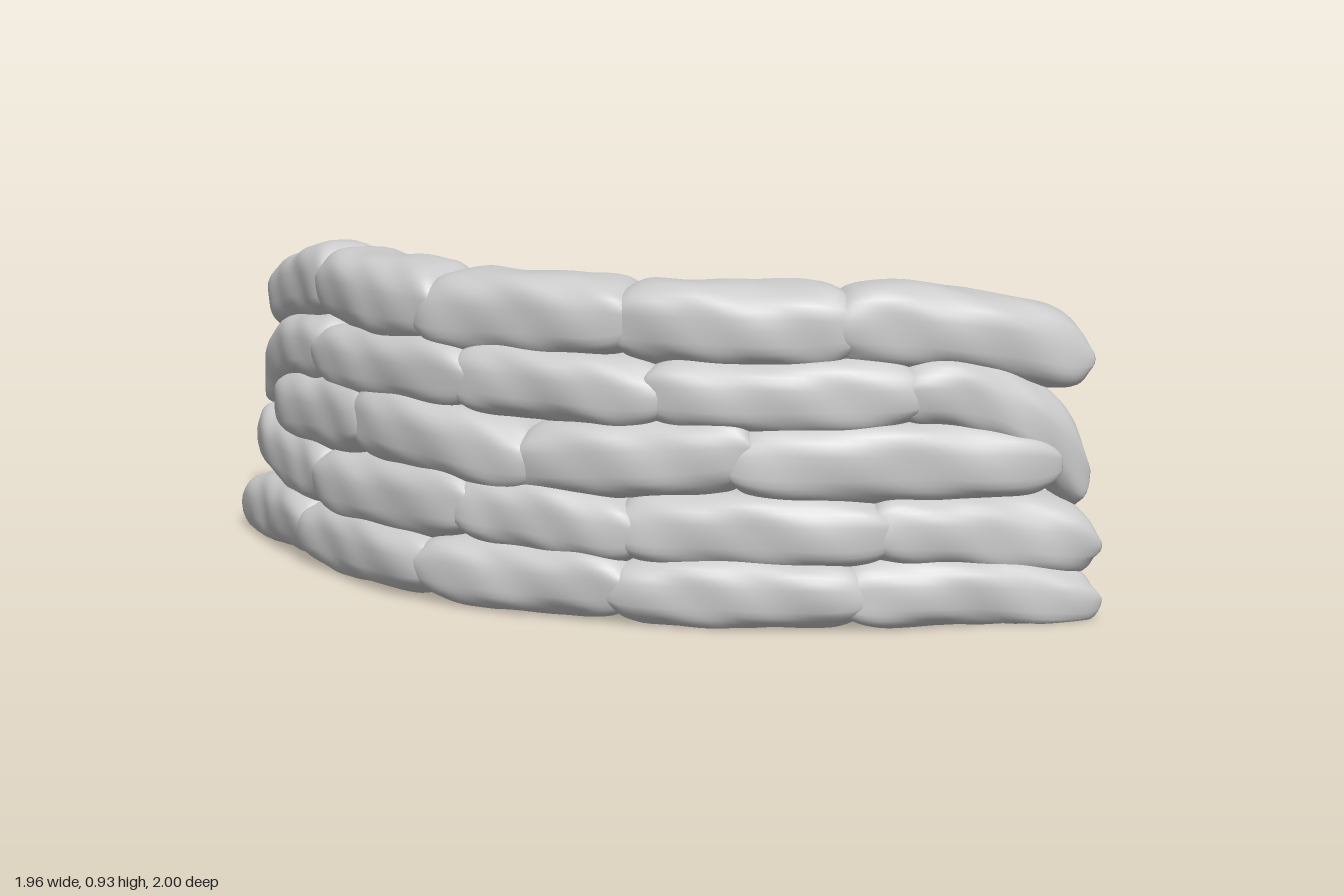
import * as THREE from 'three';

const material = new THREE.MeshStandardMaterial({ color: 0xcccccc });

// Plan of the wall: centre line of the top course, as [x, z]
const path = new THREE.CatmullRomCurve3([
  [-0.755, -0.99], [-0.725, -0.53], [-0.60, -0.06], [-0.42, 0.18], [-0.19, 0.39],
  [0.05, 0.55], [0.3, 0.665], [0.62, 0.73], [0.975, 0.785],
].map(([x, z]) => new THREE.Vector3(x, 0, z)));

// Courses from the ground up. out: shift to the outside of the bend,
// joints: bag ends along the path, tilt: rise of each bag from its middle to its far end,
// drop: sag of the first and last bag's free end, swell: extra thickness of those ends,
// bend: how late along the bag the sag sets in
const courses = [
  { y: 0.10, h: 0.205, out: 0.095, w: 0.27, joints: [0.006, 0.18, 0.365, 0.555, 0.757, 0.988],
    tilt: [0, 0, 0, 0, 0], drop: [0.03, 0.05], swell: [0.1, 0], bend: 2 },
  { y: 0.265, h: 0.215, out: 0.08, w: 0.25, joints: [0.035, 0.2, 0.40, 0.56, 0.78, 0.99],
    tilt: [0.01, 0.015, -0.02, 0, 0], drop: [-0.07, 0.06], swell: [0, 0.05], bend: 2 },
  { y: 0.45, h: 0.225, out: 0.065, w: 0.25, joints: [0.08, 0.27, 0.46, 0.66, 0.95],
    tilt: [0.01, -0.03, 0.03, 0], drop: [0.02, 0.02], swell: [0, 0], bend: 2 },
  { y: 0.625, h: 0.21, out: 0.04, w: 0.25, joints: [0.018, 0.18, 0.39, 0.58, 0.81, 0.983],
    tilt: [0, 0.01, -0.01, 0, 0], drop: [0.18, 0.24], swell: [0.25, 0.5], bend: 3 },
  { y: 0.805, h: 0.235, out: 0, w: 0.27, joints: [0.006, 0.165, 0.345, 0.547, 0.752, 0.988],
    tilt: [0, 0, 0.01, 0, 0], drop: [0.11, 0.10], swell: [0, 0], bend: 2 },
];

const hash = (n) => { const s = Math.sin(n * 127.1 + 11.7) * 43758.5453; return s - Math.floor(s); };
const power = (v, p) => Math.sign(v) * Math.pow(Math.abs(v), p);

// A filled sack lofted along the path between u0 and u1
function makeBag(course, u0, u1, tilt, first, last, seed) {
  const L = 40, R = 36;
  const shift = (hash(seed + 50) - 0.5) * 0.01;
  const phase = hash(seed + 90) * 6.28;
  const pos = [], index = [];

  for (let i = 0; i <= L; i++) {
    // stations bunch up towards the ends; the outermost rings close to a point
    const k = THREE.MathUtils.clamp((i - 1) / (L - 2), 0, 1);
    const e = -Math.cos(k * Math.PI);
    const closed = i === 0 || i === L;
    const full = Math.pow(1 - Math.pow(Math.abs(e), 7), 0.6);
    const sagStart = first ? Math.pow((1 - e) / 2, course.bend) : 0;
    const sagEnd = last ? Math.pow((1 + e) / 2, course.bend) : 0;
    const thick = 1 + course.swell[0] * sagStart + course.swell[1] * sagEnd;
    const halfW = course.w / 2 * (0.8 + 0.2 * full);
    const halfH = course.h / 2 * (0.42 + 0.58 * full) * thick;
    const mid = course.y + shift + tilt * e - course.drop[0] * sagStart - course.drop[1] * sagEnd;

    const u = (u0 + u1) / 2 + e * (u1 - u0) / 2;
    const p = path.getPointAt(u), t = path.getTangentAt(u);

    for (let j = 0; j < R; j++) {
      const a = (j / R) * Math.PI * 2;
      const c = Math.cos(a), s = Math.sin(a);
      // cloth folds: broad dents plus creases gathered at the tied ends
      const fold = 0.035 * Math.sin(2 * a + 3 * e + phase)
        + 0.025 * Math.sin(3 * a - 5 * e + phase * 2)
        + 0.015 * Math.sin(5 * a + 9 * e + phase * 4)
        + 0.04 * (1 - full) * Math.sin(7 * a + phase * 3);
      const r = closed ? 0 : 1 + fold;
      const across = course.out + halfW * r * power(c, 0.72);
      const y = Math.max(mid + halfH * r * power(s, s < 0 ? 0.65 : 0.75), 0.004);
      // sewn corners stick out past the end of the sack
      const along = closed ? 0 : Math.sign(e) * 0.018 * Math.pow(Math.abs(c), 5) * (1 - full);
      pos.push(p.x - t.z * across + t.x * along, y, p.z + t.x * across + t.z * along);
    }
  }
  for (let i = 0; i < L; i++) {
    for (let j = 0; j < R; j++) {
      const a = i * R + j, b = i * R + (j + 1) % R;
      index.push(a, a + R, b, b, a + R, b + R);
    }
  }
  const geometry = new THREE.BufferGeometry();
  geometry.setAttribute('position', new THREE.Float32BufferAttribute(pos, 3));
  geometry.setIndex(index);
  geometry.computeVertexNormals();
  return new THREE.Mesh(geometry, material);
}

export function createModel() {
  const wall = new THREE.Group();
  wall.name = 'sandbagWall';
  courses.forEach((course, row) => {
    const group = new THREE.Group();
    group.name = `course${row + 1}`;
    const n = course.tilt.length;
    for (let b = 0; b < n; b++) {
      const first = b === 0, last = b === n - 1;
      // neighbours press slightly into each other
      const bag = makeBag(course,
        course.joints[b] - (first ? 0 : 0.009),
        course.joints[b + 1] + (last ? 0 : 0.009),
        course.tilt[b], first, last, row * 10 + b + 1);
      bag.name = `sandbag${row + 1}_${b + 1}`;
      group.add(bag);
    }
    wall.add(group);
  });
  return wall;
}
